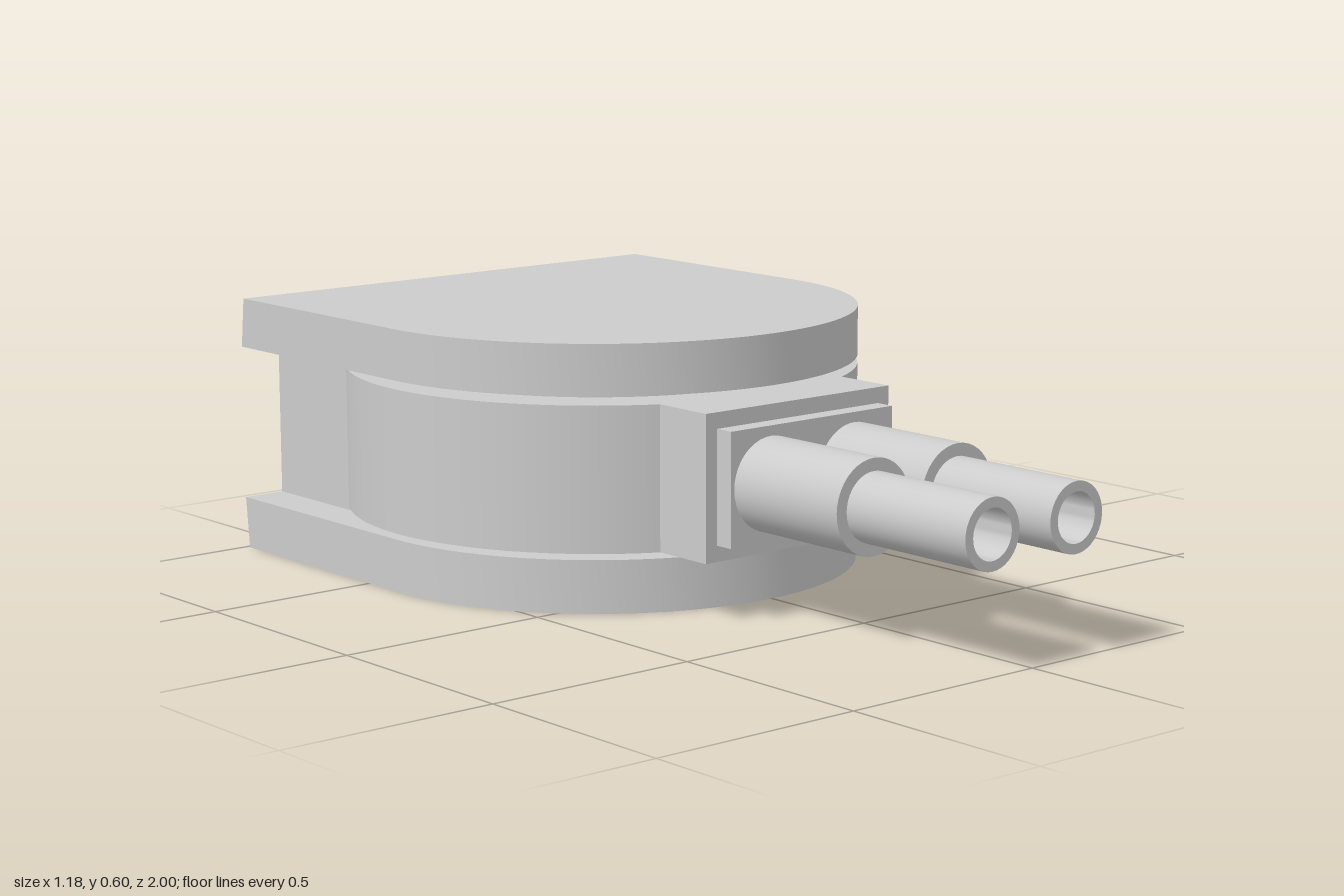
import * as THREE from 'three';
import { toCreasedNormals } from 'three/addons/utils/BufferGeometryUtils.js';

const mat = new THREE.MeshStandardMaterial({ color: 0xcccccc });
const CENTER_Z = -0.39; // axis of the rounded front
const BACK_Z = -1;
const MID_Y = 0.297;

function add(group, name, geometry, x = 0, y = 0, z = 0) {
  const mesh = new THREE.Mesh(geometry, mat);
  mesh.name = name;
  mesh.position.set(x, y, z);
  group.add(mesh);
  return mesh;
}

// D-shaped slab: straight back, half-round front; edges at height taperY lean inward at the back
function slab(r, y0, y1, taperY) {
  const shape = new THREE.Shape();
  shape.moveTo(r, -BACK_Z);
  shape.lineTo(-r, -BACK_Z);
  shape.lineTo(-r, -CENTER_Z);
  shape.absarc(0, -CENTER_Z, r, Math.PI, Math.PI * 2, false);
  shape.closePath();
  const g = new THREE.ExtrudeGeometry(shape, { depth: y1 - y0, bevelEnabled: false, curveSegments: 28 });
  g.rotateX(-Math.PI / 2).translate(0, y0, 0);
  const p = g.attributes.position;
  for (let i = 0; i < p.count; i++) {
    if (p.getZ(i) < -0.98 && Math.abs(p.getY(i) - taperY) < 1e-4) p.setZ(i, BACK_Z + 0.012);
  }
  return toCreasedNormals(g, 0.6);
}

// Open-ended pipe along z, with a stepped outer profile
function pipe() {
  const profile = [
    [0.055, 0.33], [0.105, 0.33], [0.105, 0.655], [0.077, 0.655],
    [0.077, 1], [0.055, 1], [0.055, 0.33],
  ].map(([r, z]) => new THREE.Vector2(r, z));
  const g = new THREE.LatheGeometry(profile, 40);
  g.rotateX(Math.PI / 2);
  return toCreasedNormals(g, 0.6);
}

export function createModel() {
  const model = new THREE.Group();
  model.name = 'pipeHousing';

  // Housing: two plates joined by a narrower core
  add(model, 'bottomPlate', slab(0.592, 0, 0.12, 0));
  add(model, 'topPlate', slab(0.592, 0.48, 0.595, 0.595));
  add(model, 'core', slab(0.49, 0.1, 0.5, -1));

  // Round drum between the plates
  add(model, 'drum', new THREE.CylinderGeometry(0.592, 0.592, 0.327, 72), 0, MID_Y, CENTER_Z);

  // Front connector block and its raised face
  add(model, 'connectorBlock', new THREE.BoxGeometry(0.535, 0.327, 0.39), 0, MID_Y, 0.095);
  add(model, 'connectorFace', new THREE.BoxGeometry(0.472, 0.255, 0.065), 0, MID_Y, 0.3025);

  // Pair of sleeved pipes
  for (const [side, name] of [[1, 'leftPipe'], [-1, 'rightPipe']]) {
    add(model, name, pipe(), side * 0.122, MID_Y, 0);
  }
  return model;
}
